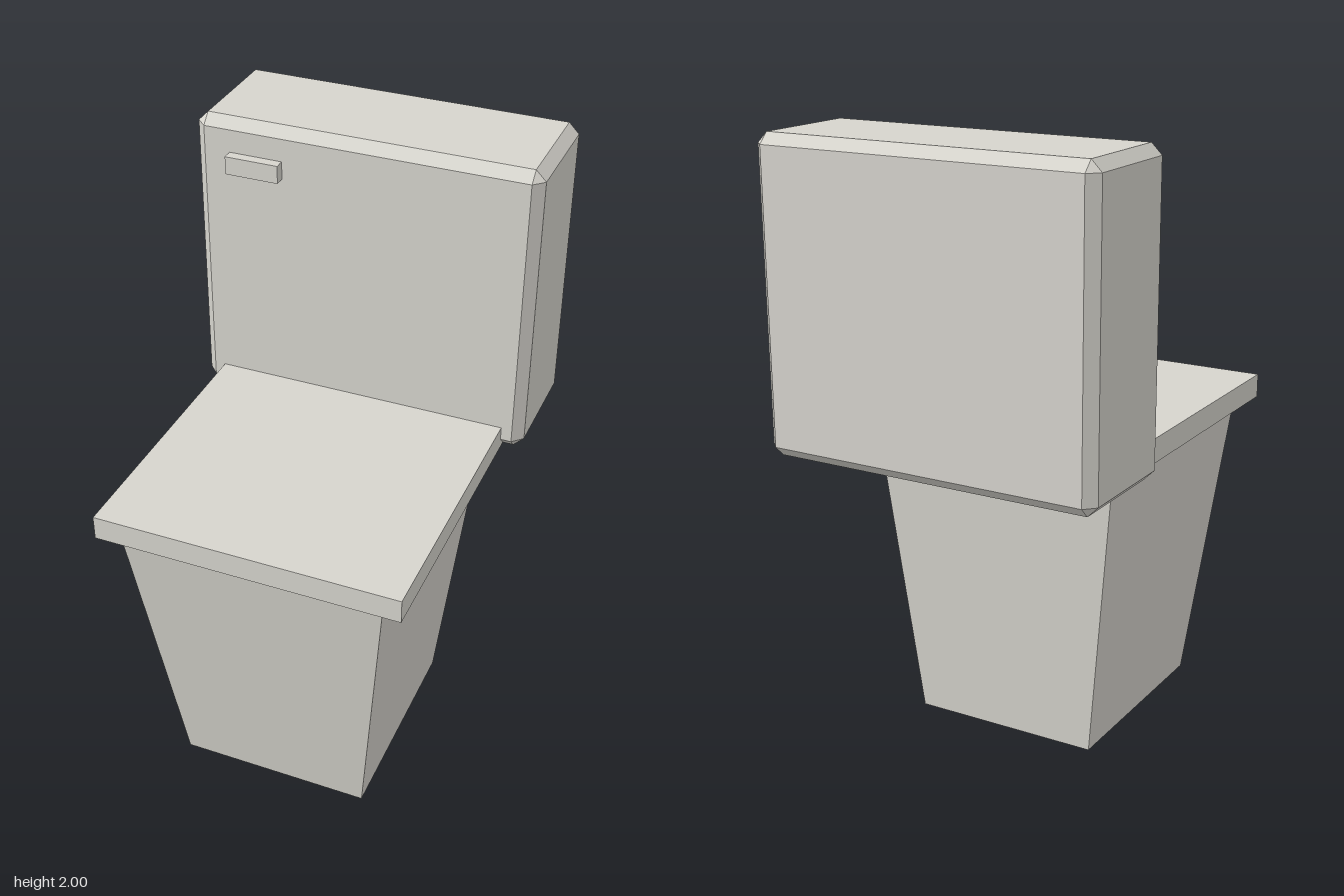
import * as THREE from 'three';
import { ConvexGeometry } from 'three/addons/geometries/ConvexGeometry.js';

const ceramic = new THREE.MeshStandardMaterial({ color: 0xd6d4cd });
ceramic.name = 'ceramic';

// Box given by its minimum and maximum corners
function boxBetween(min, max) {
  const size = max.map((v, i) => v - min[i]);
  const mid = max.map((v, i) => (v + min[i]) / 2);
  return new THREE.BoxGeometry(...size).translate(...mid);
}

// Box with flat bevelled edges and triangular corners
function chamferBox(w, h, d, b) {
  const points = [];
  for (const x of [-w / 2, w / 2])
    for (const y of [-h / 2, h / 2])
      for (const z of [-d / 2, d / 2]) {
        const [ix, iy, iz] = [x, y, z].map((v) => v - Math.sign(v) * b);
        points.push(
          new THREE.Vector3(x, iy, iz),
          new THREE.Vector3(ix, y, iz),
          new THREE.Vector3(ix, iy, z)
        );
      }
  return new ConvexGeometry(points);
}

// Box whose lower face is drawn in to the given x and z limits
function taperedBox(min, max, footX, footZ) {
  const geo = boxBetween(min, max);
  const pos = geo.attributes.position;
  for (let i = 0; i < pos.count; i++) {
    if (pos.getY(i) > (min[1] + max[1]) / 2) continue;
    pos.setX(i, footX[pos.getX(i) > 0 ? 1 : 0]);
    pos.setZ(i, footZ[pos.getZ(i) > 0 ? 1 : 0]);
  }
  const flat = geo.toNonIndexed();
  flat.computeVertexNormals();
  return flat;
}

export function createModel() {
  const model = new THREE.Group();
  model.name = 'toilet';
  const add = (name, geometry) => {
    const mesh = new THREE.Mesh(geometry, ceramic);
    mesh.name = name;
    model.add(mesh);
  };

  // Pedestal narrowing towards the floor
  add('pedestal', taperedBox([-0.43, 0, -0.28], [0.43, 1, 0.64], [-0.32, 0.32], [-0.21, 0.5]));

  // Flat seat lid, its back edge tucked into the tank
  add('seatLid', boxBetween([-0.5, 1.003, -0.28], [0.5, 1.083, 0.675]));

  // Bevelled water tank
  add('tank', chamferBox(1.14, 0.997, 0.425, 0.034).translate(0, 1.5015, -0.4625));

  // Flush lever on the tank front
  add('flushLever', boxBetween([-0.45, 1.83, -0.26], [-0.27, 1.89, -0.215]));

  return model;
}
